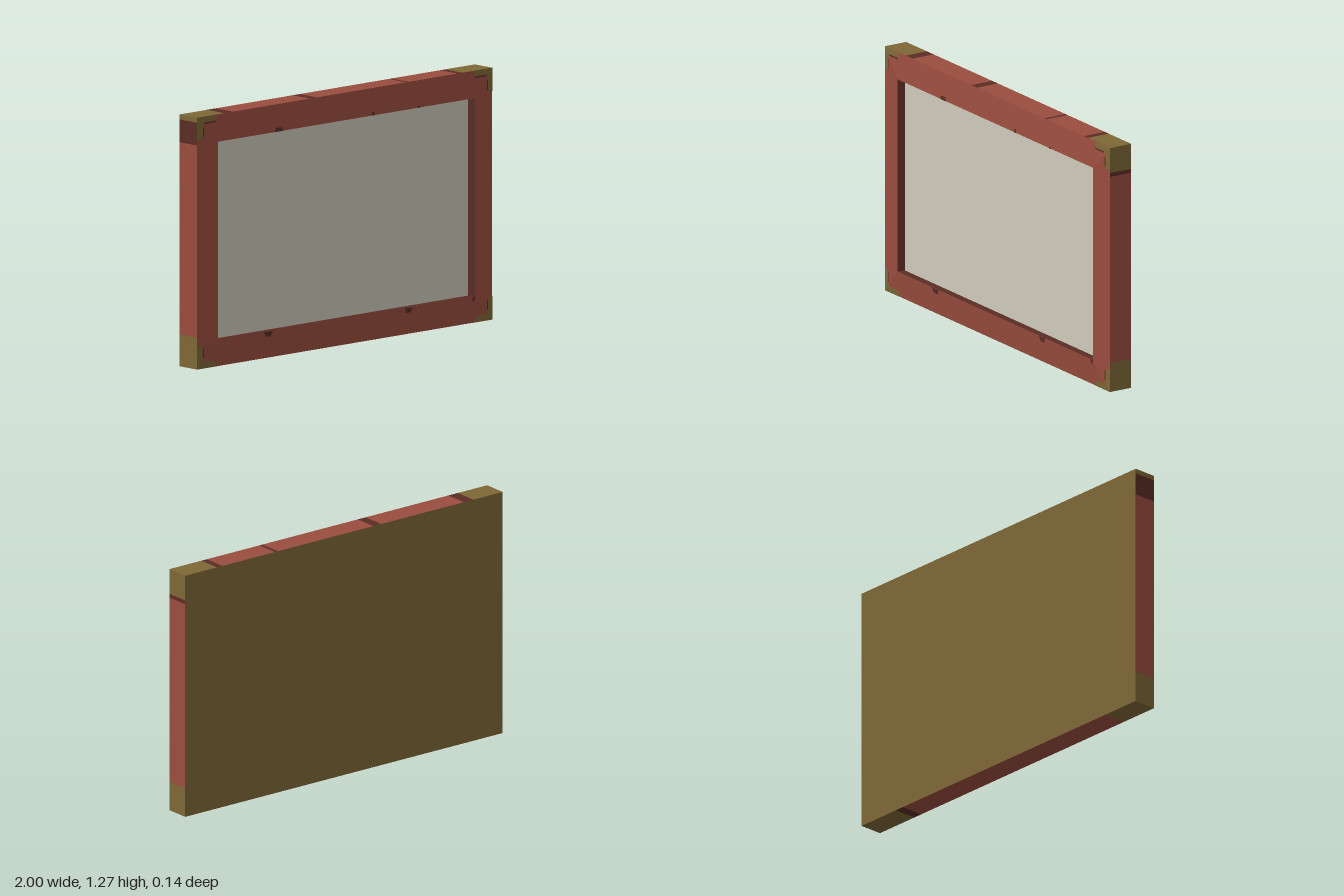
import * as THREE from 'three';

const W = 1, H = 1.27;            // outer half width and full height
const IX = 0.87, Y0 = 0.135, Y1 = 1.135; // ridge around the opening
const BACK = -0.07, EDGE = 0.055, RIDGE = 0.07, PANEL = 0.03;

export function createModel() {
  const mat = (name, color) => {
    const m = new THREE.MeshStandardMaterial({ color });
    m.name = name;
    return m;
  };
  const red = mat('redPaint', 0x9a4d3e);
  const dark = mat('darkWornPaint', 0x5a2d25);
  const gold = mat('oldGold', 0x7e6836);
  const cream = mat('creamPanel', 0xcfcabb);

  const group = new THREE.Group();
  group.name = 'pictureFrame';

  // Flat four-sided face, wound so that it faces along "out"
  function quad(name, material, pts, out) {
    let p = pts.map(a => new THREE.Vector3(...a));
    const n = p[1].clone().sub(p[0]).cross(p[2].clone().sub(p[0]));
    if (n.dot(new THREE.Vector3(...out)) < 0) p = p.reverse();
    const g = new THREE.BufferGeometry().setFromPoints(p);
    g.setIndex([0, 1, 2, 0, 2, 3]);
    g.computeVertexNormals();
    const mesh = new THREE.Mesh(g, material);
    mesh.name = name;
    group.add(mesh);
  }

  // Height of the sloping front at a point, plus a tiny lift for paint
  const slope = (RIDGE - EDGE) / (W - IX);
  const onFront = (x, y, lift = 0.002) =>
    [x, y, EDGE + lift + slope * Math.min(W - Math.abs(x), y, H - y)];

  // Back board and recessed panel
  quad('backBoard', gold, [[-W, 0, BACK], [W, 0, BACK], [W, H, BACK], [-W, H, BACK]], [0, 0, -1]);
  const px = 0.86;
  quad('panel', cream, [[-px, Y0, PANEL], [px, Y0, PANEL], [px, Y1, PANEL], [-px, Y1, PANEL]], [0, 0, 1]);

  // Four mitred rails with sloping fronts and their inner walls
  const outer = [[-W, 0], [W, 0], [W, H], [-W, H]];
  const ridge = [[-IX, Y0], [IX, Y0], [IX, Y1], [-IX, Y1]];
  const rest = [[-px, Y0], [px, Y0], [px, Y1], [-px, Y1]];
  const inward = [[0, 1, 0], [-1, 0, 0], [0, -1, 0], [1, 0, 0]];
  ['bottom', 'right', 'top', 'left'].forEach((side, i) => {
    const j = (i + 1) % 4;
    quad(side + 'Rail', red, [[...outer[i], EDGE], [...outer[j], EDGE],
      [...ridge[j], RIDGE], [...ridge[i], RIDGE]], [0, 0, 1]);
    quad(side + 'InnerWall', dark, [[...ridge[i], RIDGE], [...ridge[j], RIDGE],
      [...rest[j], PANEL], [...rest[i], PANEL]], inward[i]);
  });

  // Outer sides, divided into painted bands: [start, end, colour]
  const topBands = [[-1, -0.815, gold], [-0.815, -0.755, dark], [-0.755, -0.235, red],
    [-0.235, -0.185, dark], [-0.185, 0.415, red], [0.415, 0.435, dark],
    [0.435, 0.765, red], [0.765, 0.8, dark], [0.8, 1, gold]];
  const bottomBands = [[-1, -0.78, gold], [-0.78, 0.7, red], [0.7, 0.75, dark], [0.75, 1, gold]];
  const rightBands = [[0, 0.15, gold], [0.15, 1.12, red], [1.12, 1.14, dark], [1.14, H, gold]];
  const leftBands = [[0, 0.16, gold], [0.16, 1.13, red], [1.13, 1.245, dark], [1.245, H, gold]];
  const flatBands = (name, bands, y, dir) => bands.forEach(([a, b, m]) =>
    quad(name, m, [[a, y, BACK], [b, y, BACK], [b, y, EDGE], [a, y, EDGE]], [0, dir, 0]));
  const uprightBands = (name, bands, x) => bands.forEach(([a, b, m]) =>
    quad(name, m, [[x, a, BACK], [x, b, BACK], [x, b, EDGE], [x, a, EDGE]], [x, 0, 0]));
  flatBands('topEdge', topBands, H, 1);
  flatBands('bottomEdge', bottomBands, 0, -1);
  uprightBands('rightEdge', rightBands, W);
  uprightBands('leftEdge', leftBands, -W);

  // Gold corner mounts with dark worn lines along their inner sides
  for (const sx of [-1, 1]) for (const top of [false, true]) {
    const at = (dx, dy, lift) => onFront(sx * (W - dx), top ? H - dy : dy, lift);
    const t = 0.037, len = 0.13;
    quad('cornerMount', gold, [at(0, 0), at(len, 0), at(len - 0.01, 0.028), at(t, t)], [0, 0, 1]);
    quad('cornerMount', gold, [at(0, 0), at(0, 0.118), at(t, 0.108), at(t, t)], [0, 0, 1]);
    if (top) quad('cornerLine', dark, [at(0.045, 0.028, 0.003), at(0.125, 0.028, 0.003),
      at(0.12, 0.036, 0.003), at(0.045, 0.036, 0.003)], [0, 0, 1]);
    quad('cornerLine', dark, [at(0.034, 0.055, 0.003), at(0.04, 0.055, 0.003),
      at(0.04, 0.105, 0.003), at(0.034, 0.105, 0.003)], [0, 0, 1]);
  }

  // Small worn chips beside the opening: [x, y at the ridge, half width, height]
  const chips = [[-0.46, Y1, 0.03, 0.02], [0.18, Y1, 0.01, 0.02], [0.49, Y1, 0.01, 0.008],
    [-0.53, Y0, 0.03, -0.025], [0.42, Y0, 0.026, -0.025], [0.86, Y0, 0.01, -0.025]];
  for (const [x, y, w, h] of chips) {
    quad('wornChip', dark, [onFront(x - w, y), onFront(x + w, y),
      onFront(x + w * 0.6, y + h), onFront(x - w * 0.6, y + h)], [0, 0, 1]);
  }
  return group;
}
